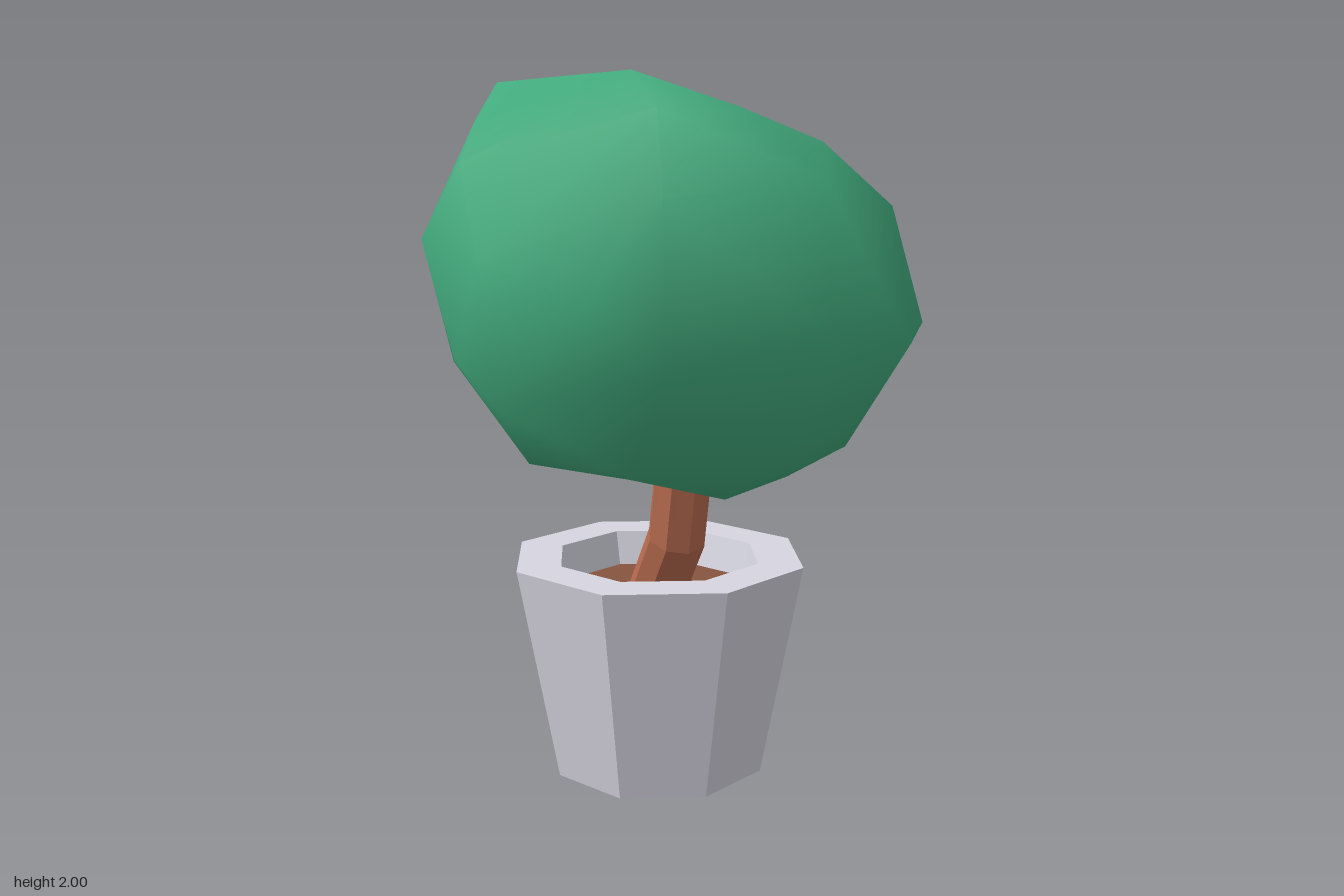
import * as THREE from 'three';
import { mergeVertices } from 'three/addons/utils/BufferGeometryUtils.js';
import { ConvexGeometry } from 'three/addons/geometries/ConvexGeometry.js';

const paint = (name, color) => {
  const material = new THREE.MeshStandardMaterial({ color });
  material.name = name;
  return material;
};

// Gives every face its own flat normal
function faceted(geometry) {
  const flat = geometry.toNonIndexed();
  flat.computeVertexNormals();
  return flat;
}

// Key points of the lumpy crown
const CROWN = [
  // top
  [-0.18, 2, -0.18], [-0.42, 1.98, -0.24], [-0.19, 2, 0.15], [-0.53, 1.87, -0.11], [-0.2, 1.9, 0.33],
  [0.1, 1.91, 0.2], [0.36, 1.82, 0.2], [0.45, 1.75, -0.09], [-0.04, 1.83, -0.26], [-0.35, 1.86, -0.38],
  // left and right flanks
  [-0.6, 1.76, -0.03], [-0.61, 1.52, 0.12], [-0.63, 1.25, -0.02], [-0.57, 1.14, 0.16], [-0.6, 1.55, -0.4],
  [0.59, 1.62, 0.1], [0.6, 1.5, -0.1], [0.625, 1.19, 0], [0.6, 1.33, 0.35], [0.36, 1.64, -0.25],
  [0.57, 1.12, 0.12],
  // front
  [-0.27, 1.68, 0.51], [-0.41, 1.42, 0.36], [-0.25, 1.25, 0.48], [0.12, 1.35, 0.65], [0.44, 1.3, 0.53],
  [0.15, 1, 0.49], [0.2, 1.72, 0.49], [0.44, 0.97, 0.22], [0.47, 1.65, 0.38],
  // underside
  [-0.44, 0.96, 0.02], [-0.24, 0.94, 0.24], [0.06, 0.85, 0.21], [0.32, 0.87, 0.1], [0.08, 0.83, -0.04],
  [-0.28, 0.96, -0.26],
  // upper back bulge and the valley below it
  [-0.4, 1.71, -0.5], [-0.44, 1.57, -0.55], [-0.53, 1.2, -0.35], [-0.35, 1.3, -0.53], [0, 1.5, -0.44],
  [0.2, 1.4, -0.42],
  // lower back bulge
  [0.16, 0.75, -0.31], [0.38, 0.84, -0.29], [0.44, 1.04, -0.52], [0.14, 1, -0.65], [0.2, 0.8, -0.52],
  [0.47, 1.3, -0.33], [0.16, 1.26, -0.57],
].map((p) => new THREE.Vector3(...p));

// Connects the points by direction from the crown's centre, then restores their distances
function crownGeometry() {
  const centre = new THREE.Vector3(0, 1.37, 0);
  const directions = CROWN.map((p) => p.clone().sub(centre).normalize());
  const hull = new ConvexGeometry(directions);
  const position = hull.attributes.position;
  const v = new THREE.Vector3();
  for (let i = 0; i < position.count; i++) {
    v.fromBufferAttribute(position, i);
    let best = 0;
    directions.forEach((d, k) => {
      if (d.distanceToSquared(v) < directions[best].distanceToSquared(v)) best = k;
    });
    position.setXYZ(i, ...CROWN[best].toArray());
  }
  hull.deleteAttribute('normal');
  const smooth = mergeVertices(hull);
  smooth.computeVertexNormals();
  return smooth;
}

// Eight-sided trunk with a bend: each ring has a height, a z offset and a tilt
function trunkGeometry() {
  const rings = [[1.15, 0.13, 0], [0.71, 0.038, 0.35], [0.5, -0.11, 0.35]];
  const geometry = new THREE.CylinderGeometry(0.085, 0.085, 2, 8, 2, true);
  const p = geometry.attributes.position;
  for (let i = 0; i < p.count; i++) {
    const [y, z, tilt] = rings[Math.round(1 - p.getY(i))];
    p.setXYZ(i, p.getX(i), y - tilt * p.getZ(i), z + p.getZ(i) * 0.94);
  }
  return faceted(geometry);
}

export function createModel() {
  const model = new THREE.Group();
  model.name = 'pottedTree';
  const add = (name, geometry, material, x = 0, y = 0, z = 0) => {
    const mesh = new THREE.Mesh(geometry, material);
    mesh.name = name;
    mesh.position.set(x, y, z);
    model.add(mesh);
  };

  const potX = -0.006, potZ = -0.085;

  // Tapered octagonal pot with a thick rim
  const profile = [[0, 0], [0.318, 0], [0.44, 0.63], [0.305, 0.63], [0.275, 0.51]]
    .map(([r, y]) => new THREE.Vector2(r, y));
  add('pot', faceted(new THREE.LatheGeometry(profile, 8)), paint('pot grey', 0xd6d5e1), potX, 0, potZ);

  // Soil inside the pot
  add('soil', new THREE.CircleGeometry(0.28, 8).rotateX(-Math.PI / 2), paint('soil brown', 0x875540), potX, 0.53, potZ);

  add('trunk', trunkGeometry(), paint('bark brown', 0xb96b4f), -0.005);
  add('foliage', crownGeometry(), paint('leaf green', 0x42ab7d));

  return model;
}
